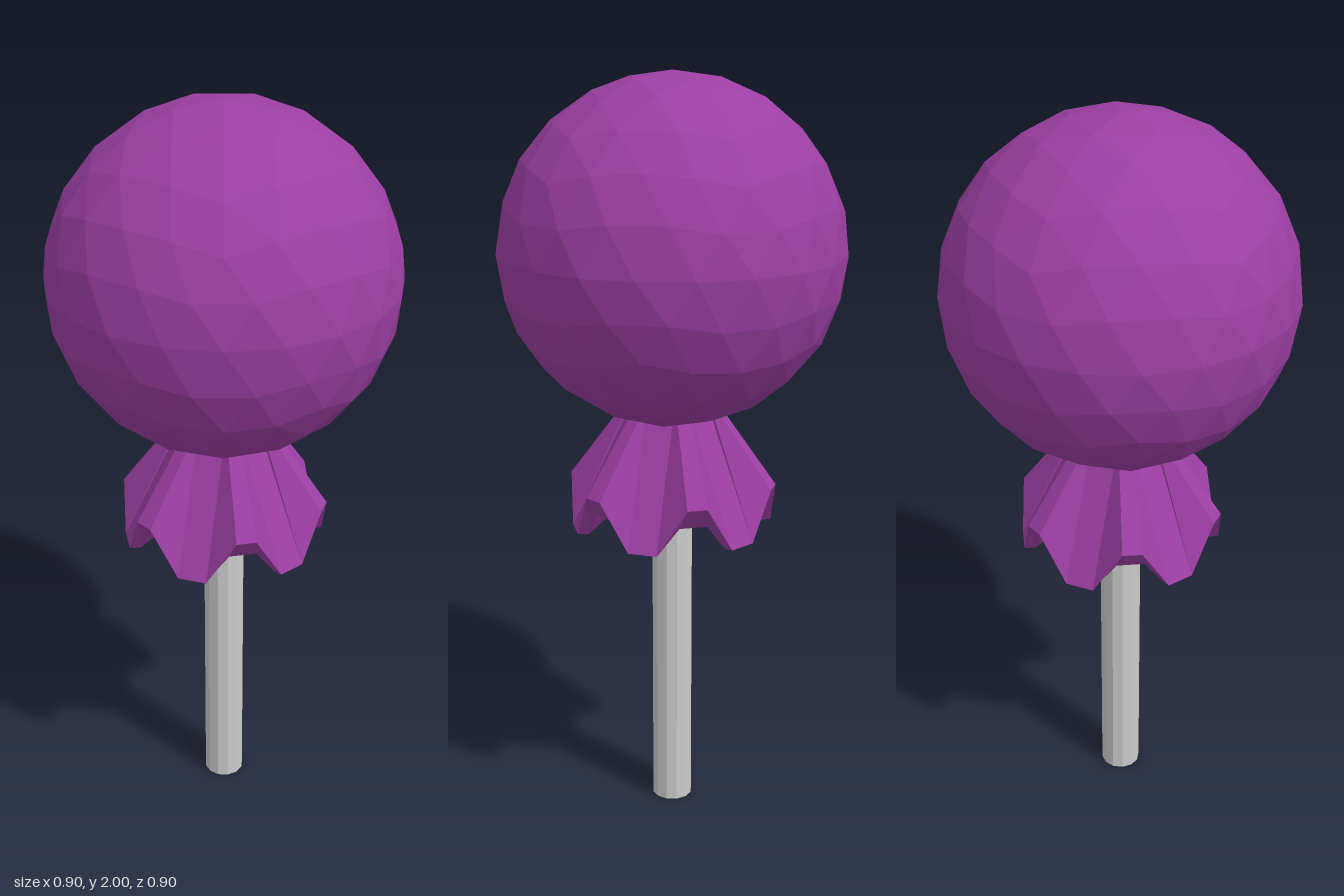
import * as THREE from 'three';

const LOBES = 6;

// Ring of corners: for each lobe, two tip corners then two notch corners.
// tip / notch = [radius, height, half width]
function ring(tip, notch) {
  const points = [];
  for (let i = 0; i < LOBES; i++) {
    [tip, notch].forEach(([r, y, w], k) => {
      const a = ((i + k / 2) / LOBES) * Math.PI * 2;
      for (const s of [-w, w]) {
        points.push(r * Math.sin(a) + s * Math.cos(a), y, r * Math.cos(a) - s * Math.sin(a));
      }
    });
  }
  return points;
}

// Skin joining successive rings
function loft(rings) {
  const n = rings[0].length / 3;
  const index = [];
  for (let j = 0; j < rings.length - 1; j++) {
    for (let i = 0; i < n; i++) {
      const a = j * n + i, b = j * n + ((i + 1) % n), c = a + n, d = b + n;
      // mirrored diagonals keep each lobe symmetrical
      if (i % 4 === 1) index.push(a, c, b, b, c, d);
      else index.push(a, c, d, a, d, b);
    }
  }
  const g = new THREE.BufferGeometry();
  g.setAttribute('position', new THREE.Float32BufferAttribute(rings.flat(), 3));
  g.setIndex(index);
  const flat = g.toNonIndexed();
  flat.computeVertexNormals();
  return flat;
}

export function createModel() {
  const group = new THREE.Group();
  const purple = new THREE.MeshStandardMaterial({ color: 0x9c3fa3, flatShading: true });
  const wrapper = purple.clone();
  wrapper.side = THREE.DoubleSide;
  const grey = new THREE.MeshStandardMaterial({ color: 0xcccccc, flatShading: true });

  const add = (name, geometry, material, y = 0) => {
    const mesh = new THREE.Mesh(geometry, material);
    mesh.name = name;
    mesh.position.y = y;
    group.add(mesh);
  };

  // Faceted ball: an icosahedron halved twice, with a corner pointing up
  const base = new THREE.IcosahedronGeometry(1, 1).attributes.position;
  const ball = new THREE.PolyhedronGeometry(
    Array.from(base.array), Array.from({ length: base.count }, (_, i) => i), 0.45, 1);
  ball.rotateZ(Math.atan(2 / (1 + Math.sqrt(5))));
  ball.rotateY(Math.PI);
  add('candyBall', ball, purple, 1.55);

  // Gathered wrapper: outside, thick rim, then the underside up to the stick
  add('wrapperSkirt', loft([
    ring([0.085, 1.18, 0.035], [0.1, 1.18, 0.016]),
    ring([0.265, 0.815, 0.038], [0.278, 0.94, 0.026]),
    ring([0.235, 0.812, 0.036], [0.235, 0.88, 0.036]),
    ring([0.17, 0.87, 0.04], [0.17, 0.875, 0.04]),
    ring([0.04, 0.86, 0.01], [0.04, 0.86, 0.01]),
  ]), wrapper);

  // Stick
  add('stick', new THREE.CylinderGeometry(0.055, 0.055, 1.15, 12), grey, 0.575);

  return group;
}
